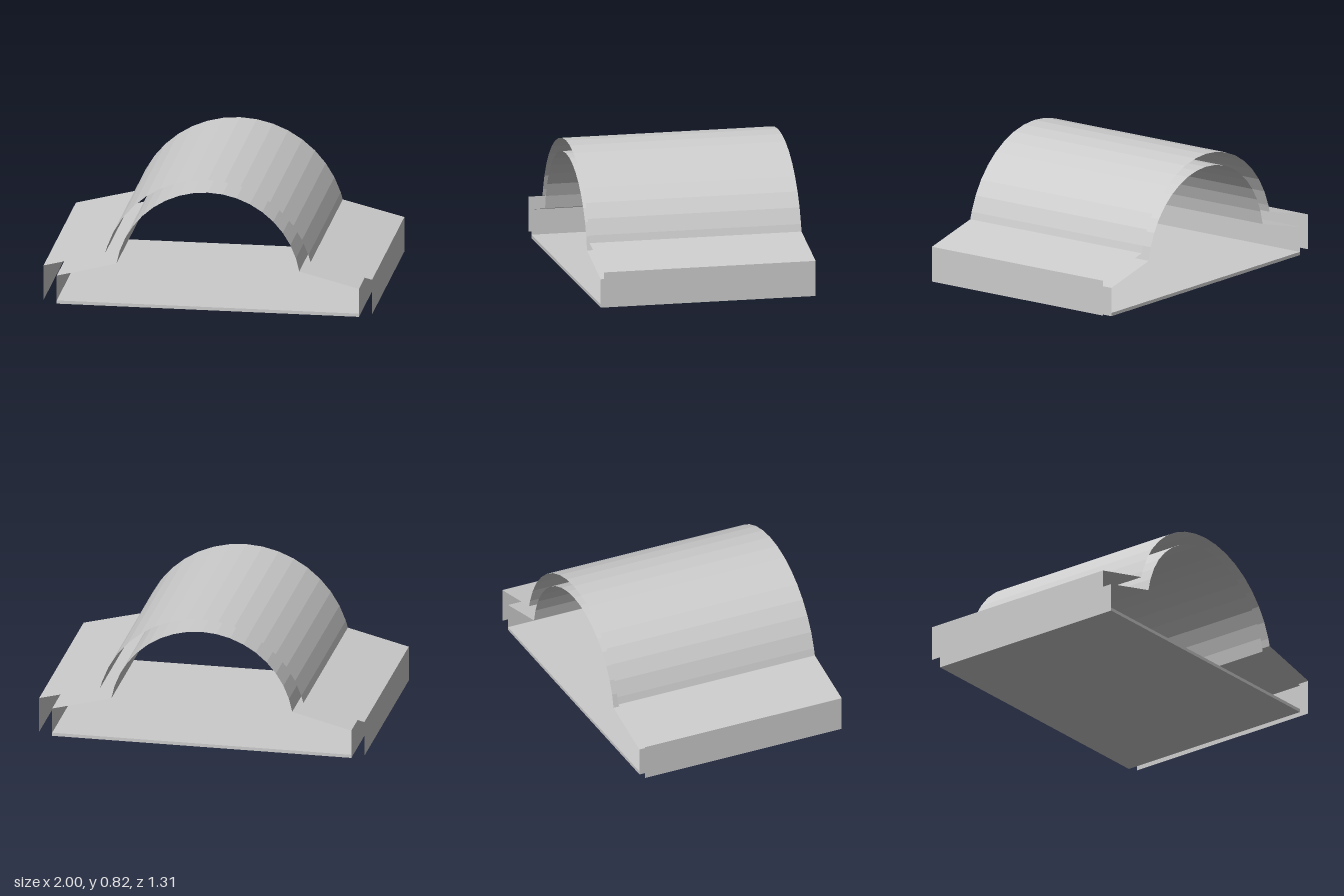
import * as THREE from 'three';

const DEPTH = 1.31;
const CENTRE_Y = 0.176; // axis height shared by both arches

const sheetMaterial = new THREE.MeshStandardMaterial({ color: 0xcccccc, flatShading: true, side: THREE.DoubleSide });
const plateMaterial = new THREE.MeshStandardMaterial({ color: 0xcccccc, flatShading: true });

// Mirrored cross-section: skirt, sloping flange, arch in 9 degree facets, flange, skirt
function profile(radius, endDegrees, halfWidth, flangeY) {
  const half = [];
  for (let a = 9; a < endDegrees - 2; a += 9) half.push(a);
  half.push(endDegrees);
  const right = half.map((a) => {
    const t = THREE.MathUtils.degToRad(a);
    return [radius * Math.sin(t), CENTRE_Y + radius * Math.cos(t)];
  });
  right.push([halfWidth, flangeY], [halfWidth, 0.02]);
  const left = right.map(([x, y]) => [-x, y]).reverse();
  return [...left, [0, CENTRE_Y + radius], ...right];
}

// Thin open sheet: a plane bent along the cross-section
function bentSheet(name, points) {
  const geometry = new THREE.PlaneGeometry(1, DEPTH, points.length - 1, 1).rotateX(-Math.PI / 2);
  const position = geometry.attributes.position;
  for (let i = 0; i < position.count; i++) {
    const [x, y] = points[i % points.length];
    position.setX(i, x);
    position.setY(i, y);
  }
  const flat = geometry.toNonIndexed();
  flat.computeVertexNormals();
  const mesh = new THREE.Mesh(flat, sheetMaterial);
  mesh.name = name;
  return mesh;
}

export function createModel() {
  const group = new THREE.Group();
  group.name = 'archedShelter';

  // Outer roof and the parallel lining inside it, both open at the ends
  group.add(bentSheet('outerShell', profile(0.644, 76.1, 1, 0.237)));
  group.add(bentSheet('innerShell', profile(0.564, 80.5, 0.92, 0.176)));

  // Thin floor joining the lining's side walls
  const floor = new THREE.Mesh(new THREE.BoxGeometry(1.84, 0.02, DEPTH), plateMaterial);
  floor.name = 'floorPlate';
  floor.position.y = 0.01;
  group.add(floor);

  return group;
}
